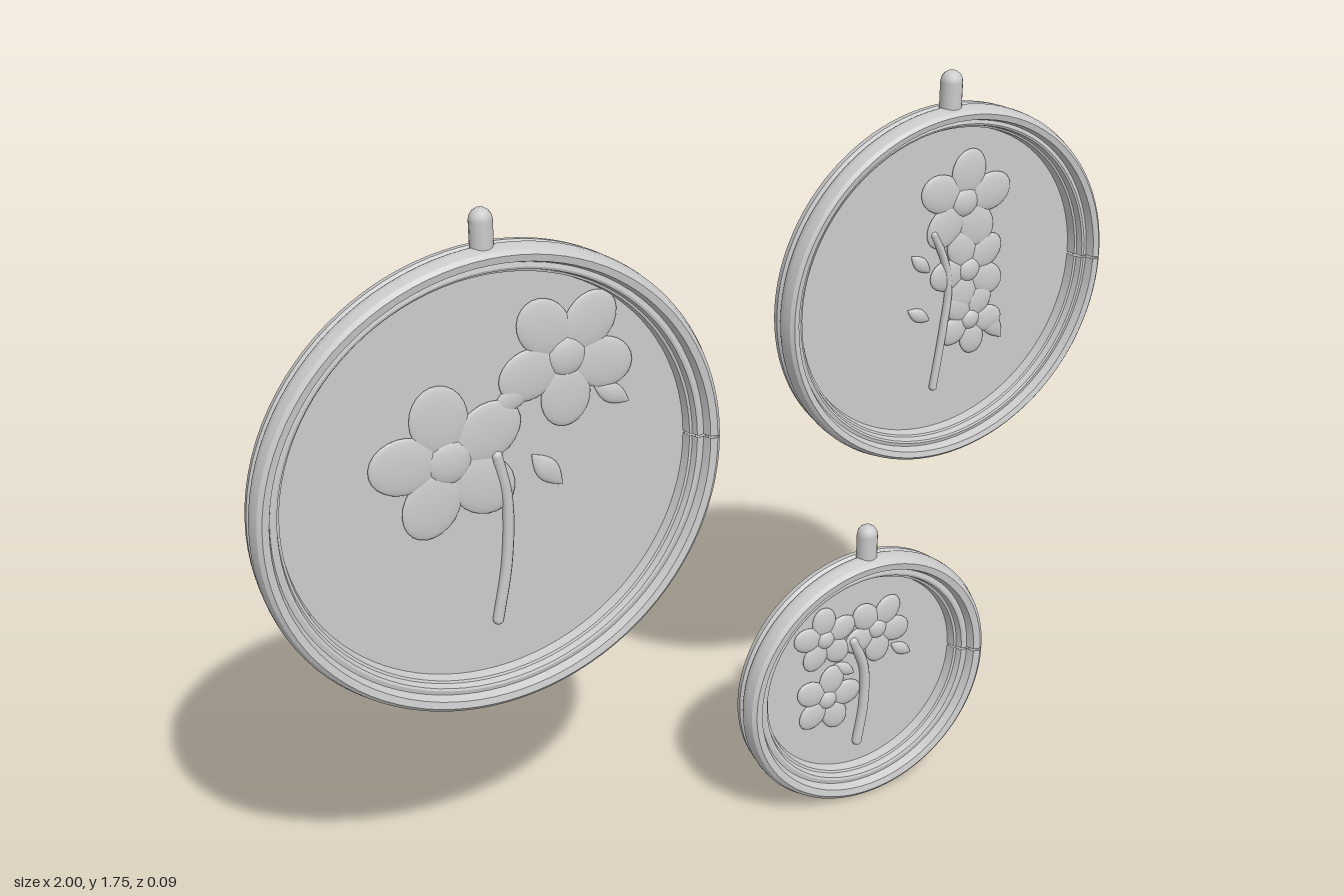
import * as THREE from 'three';
import { toCreasedNormals } from 'three/addons/utils/BufferGeometryUtils.js';

const grey = new THREE.MeshStandardMaterial({ color: 0xcccccc, side: THREE.DoubleSide });
const FABRIC_Z = -0.015;

function add(parent, name, geometry, x = 0, y = 0, z = 0) {
  const mesh = new THREE.Mesh(geometry, grey);
  mesh.name = name;
  mesh.position.set(x, y, z);
  parent.add(mesh);
  return mesh;
}

// Split wooden ring: grooved outside, stepped inside; w is the rim width
function ringGeometry(R, w) {
  const profile = [
    [0.9, -0.03], [0.8, -0.043], [0.3, -0.043], [0.07, -0.028], [0.04, -0.014],
    [0.14, -0.006], [0.03, 0.001], [0, 0.006], [0, 0.018], [0.09, 0.036], [0.22, 0.043],
    [0.45, 0.04], [0.56, 0.022], [0.7, 0.024], [0.78, 0.022], [0.85, 0.008],
    [0.93, 0.006], [1, -0.015], [0.9, -0.03],
  ].map(([d, z]) => new THREE.Vector2(R - d * w, z));
  const gap = 0.005 / R;
  const g = new THREE.LatheGeometry(profile, 96, Math.PI / 2 + gap / 2, Math.PI * 2 - gap);
  return toCreasedNormals(g.rotateX(Math.PI / 2), 0.4);
}

// Five overlapping low domed petals around a small heart
function addFlower(parent, x, y, r, turn) {
  const flower = new THREE.Group();
  flower.name = 'flower';
  flower.position.set(x, y, FABRIC_Z + 0.004);
  for (let i = 0; i < 5; i++) {
    const a = turn + (i * Math.PI * 2) / 5;
    const petal = add(flower, 'petal', new THREE.SphereGeometry(1, 20, 12),
      Math.cos(a) * r * 0.56, Math.sin(a) * r * 0.56, 0);
    petal.scale.set(r * 0.44, r * 0.36, 0.009);
    petal.rotation.z = a;
  }
  add(flower, 'flowerHeart', new THREE.SphereGeometry(1, 16, 10)).scale.set(r * 0.28, r * 0.28, 0.013);
  parent.add(flower);
}

// Pointed leaf: a flattened spindle
function addLeaf(parent, x, y, length, angle) {
  const pts = [];
  for (let i = 0; i <= 10; i++) {
    pts.push(new THREE.Vector2(Math.sin((Math.PI * i) / 10) * length * 0.22, (i / 10 - 0.5) * length));
  }
  const leaf = add(parent, 'leaf', new THREE.LatheGeometry(pts, 16), x, y, FABRIC_Z + 0.003);
  leaf.scale.z = 0.008 / (length * 0.22);
  leaf.rotation.z = angle - Math.PI / 2;
}

// Round-ended stem
function addStem(parent, points, radius) {
  const curve = new THREE.CatmullRomCurve3(points.map(([x, y]) => new THREE.Vector3(x, y, FABRIC_Z + 0.006)));
  add(parent, 'stem', new THREE.TubeGeometry(curve, 32, radius, 10));
  for (const t of [0, 1]) {
    const p = curve.getPoint(t);
    add(parent, 'stemEnd', new THREE.SphereGeometry(radius, 10, 8), p.x, p.y, p.z);
  }
}

// Coordinates of the decoration are relative to each hoop's centre
const hoops = [
  {
    name: 'largeHoop', x: -0.485, y: 1.06, R: 0.515, w: 0.067,
    stem: [[0.005, -0.33], [0.03, -0.2], [0.037, -0.06], [0.018, 0.05]], stemR: 0.012,
    flowers: [[-0.085, 0.06, 0.175, 0.5], [0.18, 0.235, 0.155, 0.9]],
    leaves: [[0.28, 0.13, 0.1, -0.6], [0.13, -0.01, 0.11, -0.9], [0.06, 0.17, 0.12, 0.5]],
  },
  {
    name: 'mediumHoop', x: 0.591, y: 1.272, R: 0.405, w: 0.055,
    stem: [[0, -0.25], [0.02, -0.11], [0.028, -0.02], [0.014, 0.05], [-0.017, 0.115]], stemR: 0.009,
    flowers: [[0.06, 0.175, 0.12, 0.2], [0.08, 0.015, 0.1, 0.7], [0.09, -0.105, 0.085, 1.1]],
    leaves: [[0.15, -0.13, 0.1, -0.9], [-0.045, 0.05, 0.07, 2.4], [-0.045, -0.07, 0.07, 2.6]],
  },
  {
    name: 'smallHoop', x: 0.424, y: 0.325, R: 0.32, w: 0.07,
    stem: [[0, -0.19], [0.015, -0.09], [0.012, 0.01], [-0.02, 0.09]], stemR: 0.012,
    flowers: [[-0.095, 0.115, 0.085, 0.4], [0.045, 0.105, 0.09, 1.0], [-0.085, -0.05, 0.09, 0.1]],
    leaves: [[0.115, 0.03, 0.07, -0.6], [-0.04, 0.02, 0.07, 2.5]],
  },
];

export function createModel() {
  const model = new THREE.Group();
  model.name = 'flowerHoops';
  for (const h of hoops) {
    const hoop = new THREE.Group();
    hoop.name = h.name;
    hoop.position.set(h.x, h.y, 0);

    add(hoop, 'ring', ringGeometry(h.R, h.w));
    add(hoop, 'fabric', new THREE.CylinderGeometry(h.R - h.w * 0.92, h.R - h.w * 0.92, 0.008, 96)
      .rotateX(Math.PI / 2), 0, 0, FABRIC_Z - 0.004);

    // Hanging peg on top
    add(hoop, 'peg', new THREE.CapsuleGeometry(0.024, 0.06, 4, 14), 0, h.R + 0.023, 0.004);

    addStem(hoop, h.stem, h.stemR);
    h.flowers.forEach((f) => addFlower(hoop, ...f));
    h.leaves.forEach((l) => addLeaf(hoop, ...l));
    model.add(hoop);
  }
  return model;
}
